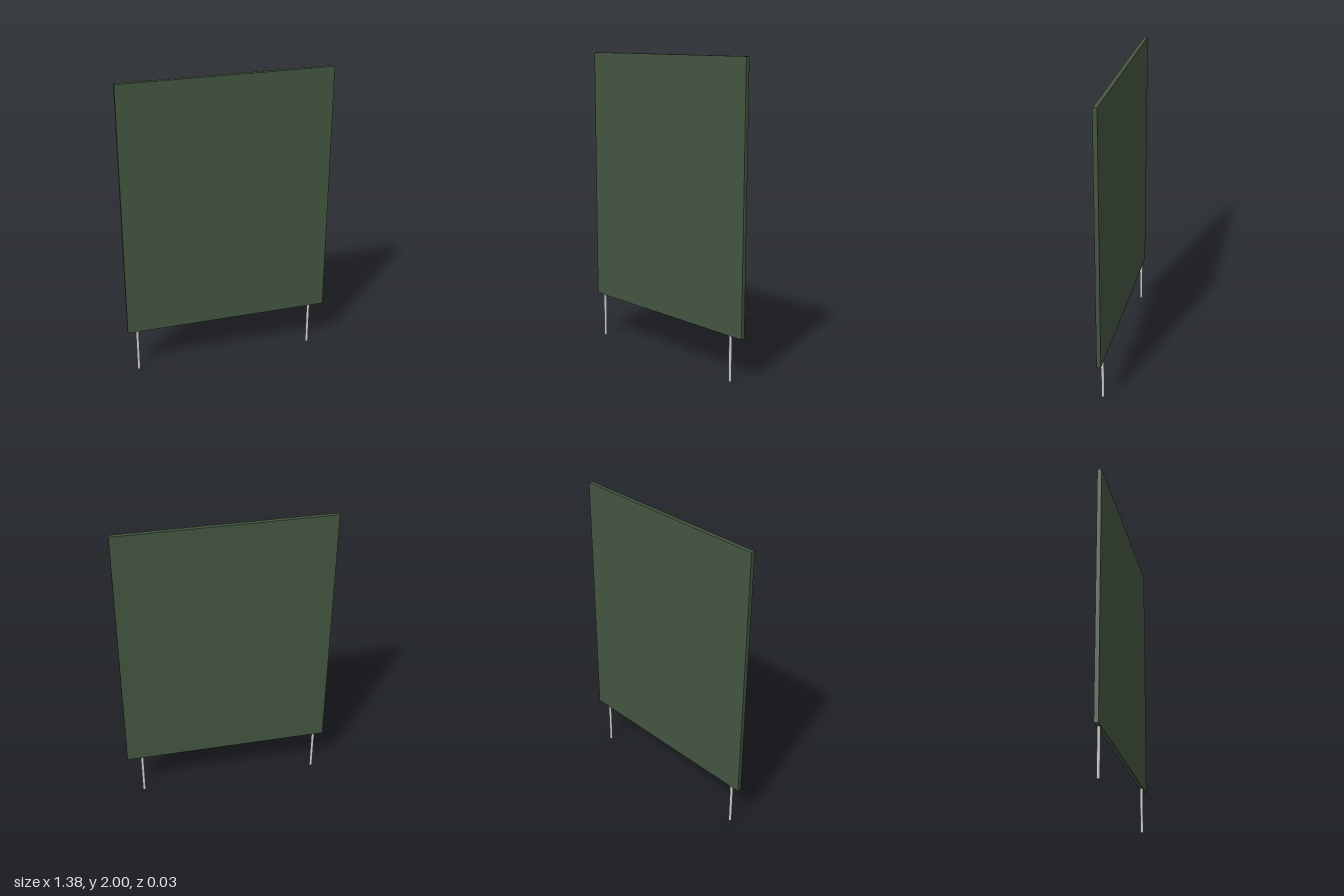
import * as THREE from 'three';

export function createModel() {
  const group = new THREE.Group();
  const green = new THREE.MeshStandardMaterial({ color: 0x435540 });
  const grey = new THREE.MeshStandardMaterial({ color: 0xcccccc });
  const bottom = 0.3, top = 2;

  // Flat board
  const panel = new THREE.Mesh(new THREE.BoxGeometry(1.38, top - bottom, 0.027), green);
  panel.name = 'panel';
  panel.position.y = (top + bottom) / 2;
  group.add(panel);

  // Two thin round posts under the board, slightly off-centre as a pair
  const postGeometry = new THREE.CylinderGeometry(0.01, 0.01, bottom, 24);
  for (const [name, x] of [['rightPost', -0.625], ['leftPost', 0.588]]) {
    const post = new THREE.Mesh(postGeometry, grey);
    post.name = name;
    post.position.set(x, bottom / 2, 0);
    group.add(post);
  }

  return group;
}
